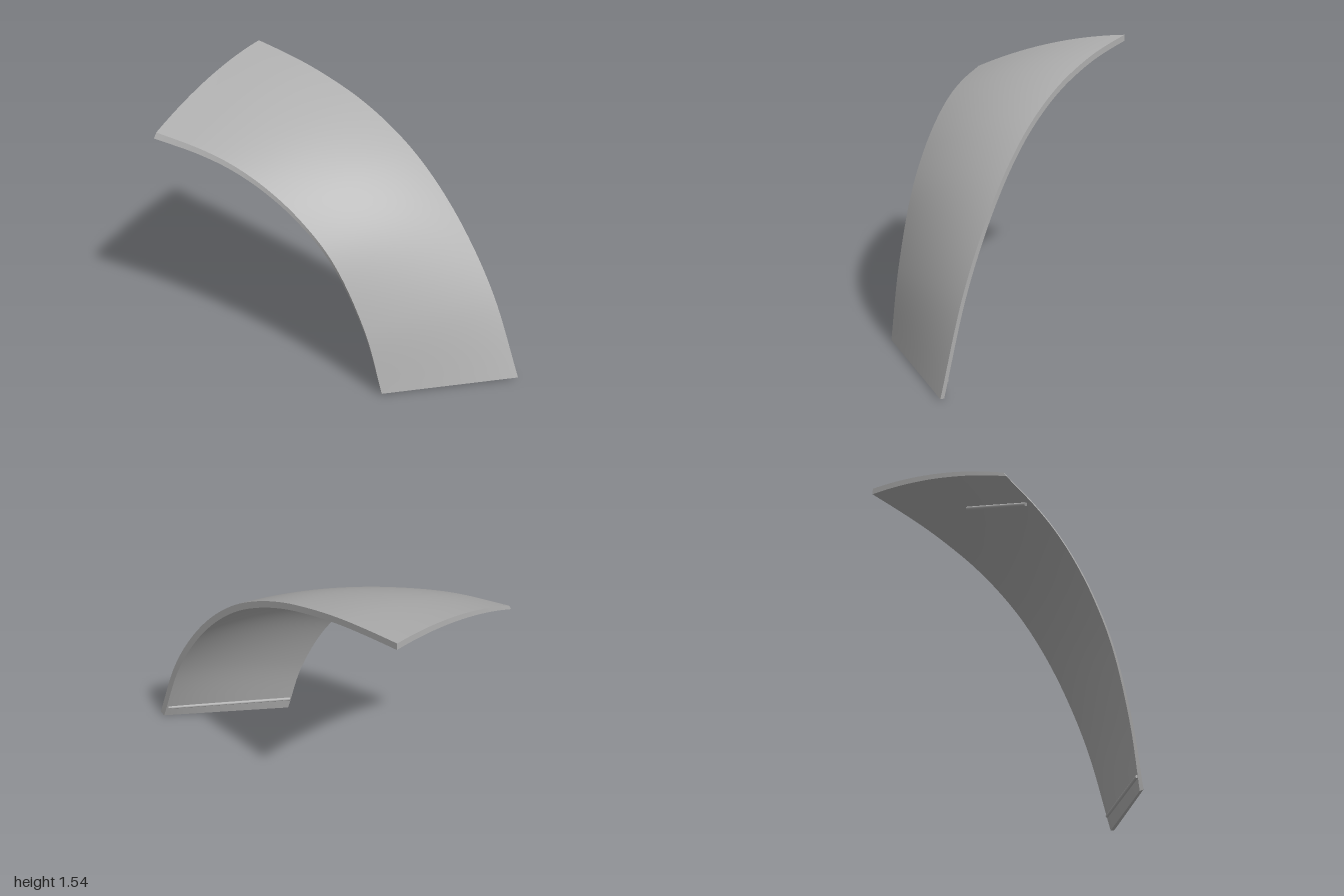
import * as THREE from 'three';

const V = (x, y, z) => new THREE.Vector3(x, y, z);

// Outer rails [z, y]: the tall straight side and the slanted short side
const tallRail = new THREE.CatmullRomCurve3(
  [[1, 0.01], [0.8, 0.47], [0.6, 0.78], [0.4, 1.01], [0.2, 1.18], [0, 1.3], [-0.2, 1.387],
    [-0.4, 1.447], [-0.6, 1.492], [-0.8, 1.522], [-1, 1.545]].map(([z, y]) => V(0.48, y, z)));
const slantRail = new THREE.CatmullRomCurve3(
  [[0.52, 0.01], [0.41, 0.385], [0.21, 0.77], [0.005, 0.98], [-0.195, 1.113], [-0.395, 1.2],
    [-0.6, 1.25], [-0.89, 1.285]].map(([z, y]) => V(-0.155 - 0.2163 * (0.52 - z), y, z)));

// Point in the shell: s across, t along the arc, w through the thickness
function shellPoint(s, t, w) {
  const p = tallRail.getPointAt(t).lerp(slantRail.getPointAt(t), s);
  const bulge = 4 * s * (1 - s);
  p.y += 0.045 * bulge * Math.sin(t * Math.PI / 2);
  p.z += 0.025 * bulge * Math.sin(t * Math.PI);
  const a = 0.28 + t * (Math.PI / 2 - 0.28);
  const tallOffset = V(0, -0.036 * Math.sin(a), -0.036 * Math.cos(a));
  const slantOffset = V(0.015, -0.01, -0.015).lerp(V(-0.02, -0.03, 0), t);
  return p.addScaledVector(tallOffset.lerp(slantOffset, s), w);
}

// Grid surface whose front faces along du x dv
function patch(f, nu, nv) {
  const pos = [], index = [];
  for (let j = 0; j <= nv; j++) {
    for (let i = 0; i <= nu; i++) {
      pos.push(...f(i / nu, j / nv).toArray());
      if (i < nu && j < nv) {
        const a = j * (nu + 1) + i, d = a + nu + 1;
        index.push(a, a + 1, d + 1, a, d + 1, d);
      }
    }
  }
  const g = new THREE.BufferGeometry();
  g.setAttribute('position', new THREE.Float32BufferAttribute(pos, 3));
  g.setIndex(index);
  g.computeVertexNormals();
  return g;
}

export function createModel() {
  const grey = new THREE.MeshStandardMaterial({ color: 0xb0b0b0 });
  grey.name = 'grey';
  const group = new THREE.Group();
  group.name = 'curvedPanel';
  const add = (name, geometry) => {
    const mesh = new THREE.Mesh(geometry, grey);
    mesh.name = name;
    group.add(mesh);
    return mesh;
  };

  // Curved skin and its four rims
  const S = 24, T = 60;
  add('outerSkin', patch((t, s) => shellPoint(s, t, 0), T, S));
  add('innerSkin', patch((s, t) => shellPoint(s, t, 1), S, T));
  add('tallSideRim', patch((w, t) => shellPoint(0, t, w), 1, T));
  add('slantSideRim', patch((t, w) => shellPoint(1, t, w), T, 1));
  add('bottomRim', patch((s, w) => shellPoint(s, 0, w), S, 1));
  add('backRim', patch((w, s) => shellPoint(s, 1, w), 1, S));

  // Straight rods on the inside
  const rod = (name, from, to) => {
    const dir = to.clone().sub(from);
    const mesh = add(name, new THREE.CylinderGeometry(0.01, 0.01, dir.length(), 12));
    mesh.position.copy(from).lerp(to, 0.5);
    mesh.quaternion.setFromUnitVectors(V(0, 1, 0), dir.normalize());
  };
  rod('lowerRod', V(0.47, 0.08, 0.925), V(-0.14, 0.08, 0.485));
  rod('upperRod', V(0.055, 1.385, -0.67), V(-0.4, 1.22, -0.67));
  return group;
}
